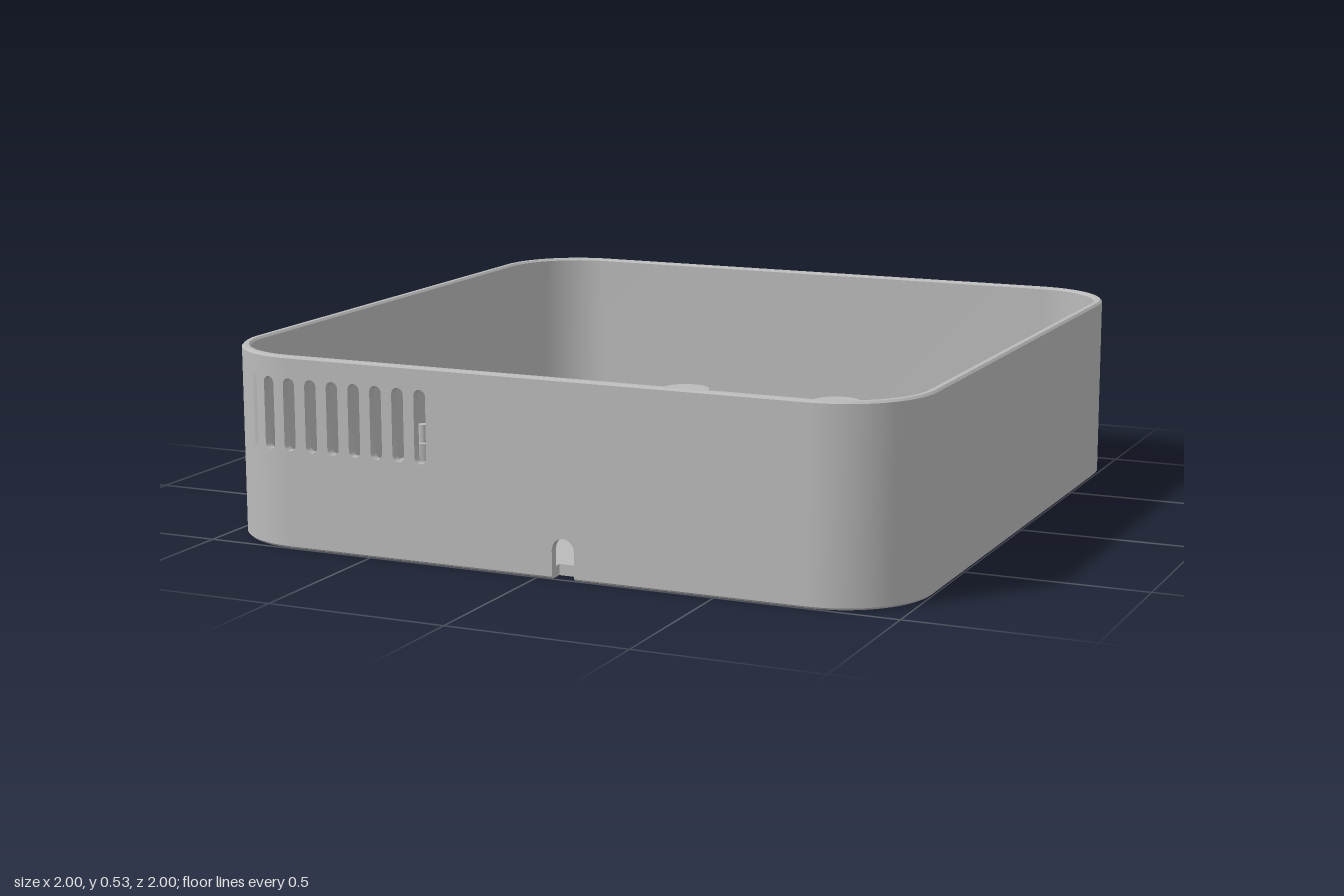
import * as THREE from 'three';
import { toCreasedNormals } from 'three/addons/utils/BufferGeometryUtils.js';

const H = 0.53, T = 0.025, FLOOR = 0.03, BEVEL = 0.006; // height, wall, floor, edge bevel
const C = 0.75, R = 0.25, RI = R - T;                   // corner centre and radii
const POCKET_Z = 0.966;                                 // depth reached by the vent cuts
const ventX = Array.from({ length: 9 }, (_, i) => -0.875 + i * 0.0667);
const VENT_R = 0.0175;
const notch = { cx: 0.075, r: 0.032, y0: 0, y1: 0.11 };
const vents = ventX.map((cx, i) => ({ cx, r: VENT_R, y0: 0.27, y1: 0.47, pocket: i === 0 }));
const cuts = [...vents, notch];

// Plan outline as pairs of outer and inner points [x, z], counter-clockwise from the front
function wallSamples() {
  const xs = [-0.9, -C, -0.2, C];
  for (const c of cuts) for (let k = 0; k <= 8; k++) xs.push(c.cx - c.r * Math.cos(k * Math.PI / 8));
  xs.sort((a, b) => a - b);
  const z = (x, r) => C + Math.sqrt(r * r - Math.min(0, x + C) ** 2);
  const list = xs.map(x => ({ o: [x, z(x, R)], i: [x, z(x, RI)] }));
  const arc = (cx, cz, from, to) => {
    for (let k = 0; k <= 16; k++) {
      const a = THREE.MathUtils.degToRad(from + (to - from) * k / 16);
      const at = r => [cx + r * Math.cos(a), cz + r * Math.sin(a)];
      list.push({ o: at(R), i: at(RI) });
    }
  };
  arc(C, C, 87, 0);
  arc(C, -C, 0, -90);
  arc(-C, -C, -90, -180);
  arc(-C, C, 180, 135);
  return list;
}

// Lower and upper edge of a cut at a given x
function cutSpan(c, x) {
  const d = Math.sqrt(Math.max(0, c.r * c.r - (x - c.cx) ** 2));
  return [c.y0 === 0 ? 0 : c.y0 + c.r - d, c.y1 - c.r + d];
}

// Cross-section of the wall between two heights, bevelled at the rim and base
function section(s, y0, y1, outer = s.o) {
  const k = BEVEL / T, b = y0 === 0, t = y1 === H;
  const p = (f, y) => [
    outer[0] + (s.i[0] - outer[0]) * f, y, outer[1] + (s.i[1] - outer[1]) * f];
  return [
    p(b ? k : 0, y0), p(0, b ? BEVEL : y0), p(0, t ? H - BEVEL : y1), p(t ? k : 0, y1),
    p(t ? 1 - k : 1, y1), p(1, t ? H - BEVEL : y1), p(1, y0)];
}

function wallGeometry() {
  const pos = [];
  const quad = (a, b, c, d) => pos.push(...a, ...b, ...c, ...a, ...c, ...d);
  const loft = (p, q) => p.forEach((_, j) => {
    const n = (j + 1) % p.length;
    quad(p[j], q[j], q[n], p[n]);
  });
  const samples = wallSamples();
  samples.forEach((s, n) => {
    const e = samples[(n + 1) % samples.length];
    const mid = (s.o[0] + e.o[0]) / 2;
    const cut = s.o[1] > 0.9 && e.o[1] > 0.9 && cuts.find(c => Math.abs(mid - c.cx) < c.r);
    if (!cut) return loft(section(s, 0, H), section(e, 0, H));
    const [a0, a1] = cutSpan(cut, s.o[0]), [b0, b1] = cutSpan(cut, e.o[0]);
    if (cut.y0 > 0) loft(section(s, 0, a0), section(e, 0, b0));
    loft(section(s, a1, H), section(e, b1, H));
    // the outermost vent only dents the curved corner
    if (cut.pocket) {
      const dent = q => [q.o[0], Math.min(q.o[1], POCKET_Z)];
      loft(section(s, a0, a1, dent(s)), section(e, b0, b1, dent(e)));
    }
    // straight sides of the opening
    const side = (q, lo, hi) => [[q.o, lo], [q.i, lo], [q.i, hi], [q.o, hi]].map(([v, y]) => [v[0], y, v[1]]);
    if (Math.abs(s.o[0] - (cut.cx - cut.r)) < 1e-6) quad(...side(s, a0, a1));
    if (Math.abs(e.o[0] - (cut.cx + cut.r)) < 1e-6) quad(...side(e, b0, b1).reverse());
  });
  const g = new THREE.BufferGeometry();
  g.setAttribute('position', new THREE.Float32BufferAttribute(pos, 3));
  return toCreasedNormals(g, 0.5);
}

// Floor plate with screw holes, vent slots and the cable notch
function floorGeometry() {
  const s = new THREE.Shape(), E = C + RI, q = Math.PI / 2;
  s.moveTo(C, -E);
  s.absarc(C, -C, RI, -q, 0, false);
  s.absarc(C, C, RI, 0, q, false);
  s.lineTo(notch.cx + notch.r, E);
  s.lineTo(notch.cx + notch.r, 0.957);
  s.lineTo(notch.cx - notch.r, 0.957);
  s.lineTo(notch.cx - notch.r, E);
  s.absarc(-C, C, RI, q, 2 * q, false);
  s.absarc(-C, -C, RI, 2 * q, 3 * q, false);
  for (const x of [-0.847, 0.847]) for (const z of [-0.847, 0.847]) {
    s.holes.push(new THREE.Path().absarc(x, z, 0.043, 0, 4 * q, true));
  }
  for (const x of ventX) {
    const p = new THREE.Path();
    p.absarc(x, 0.61 - VENT_R, VENT_R, 0, 2 * q, false);
    p.absarc(x, 0.05 + VENT_R, VENT_R, 2 * q, 4 * q, false);
    s.holes.push(p);
  }
  const g = new THREE.ExtrudeGeometry(s, { depth: FLOOR, bevelEnabled: false, curveSegments: 16 });
  g.rotateX(q).translate(0, FLOOR, 0);
  return toCreasedNormals(g, 0.5);
}

export function createModel() {
  const model = new THREE.Group();
  model.name = 'enclosureBase';
  const grey = new THREE.MeshStandardMaterial({ color: 0xbababa });
  grey.name = 'grey plastic';
  const add = (name, geometry) => {
    const m = new THREE.Mesh(geometry, grey);
    m.name = name;
    model.add(m);
    return m;
  };
  const post = (name, x, z, r, y0, y1) =>
    add(name, new THREE.CylinderGeometry(r, r, y1 - y0, 32)).position.set(x, (y0 + y1) / 2, z);

  add('wall', wallGeometry());
  add('floor', floorGeometry());

  // Thick support posts at the back
  for (const x of [-0.31, 0.203]) post('supportPost', x, -0.645, 0.076, FLOOR, 0.185);

  // Board standoffs with locating pins
  for (const x of [-0.906, -0.278]) for (const z of [-0.01, 0.733]) {
    post('standoff', x, z, 0.037, FLOOR, 0.085);
    post('locatingPin', x, z, 0.015, 0.085, 0.14);
  }
  return model;
}
